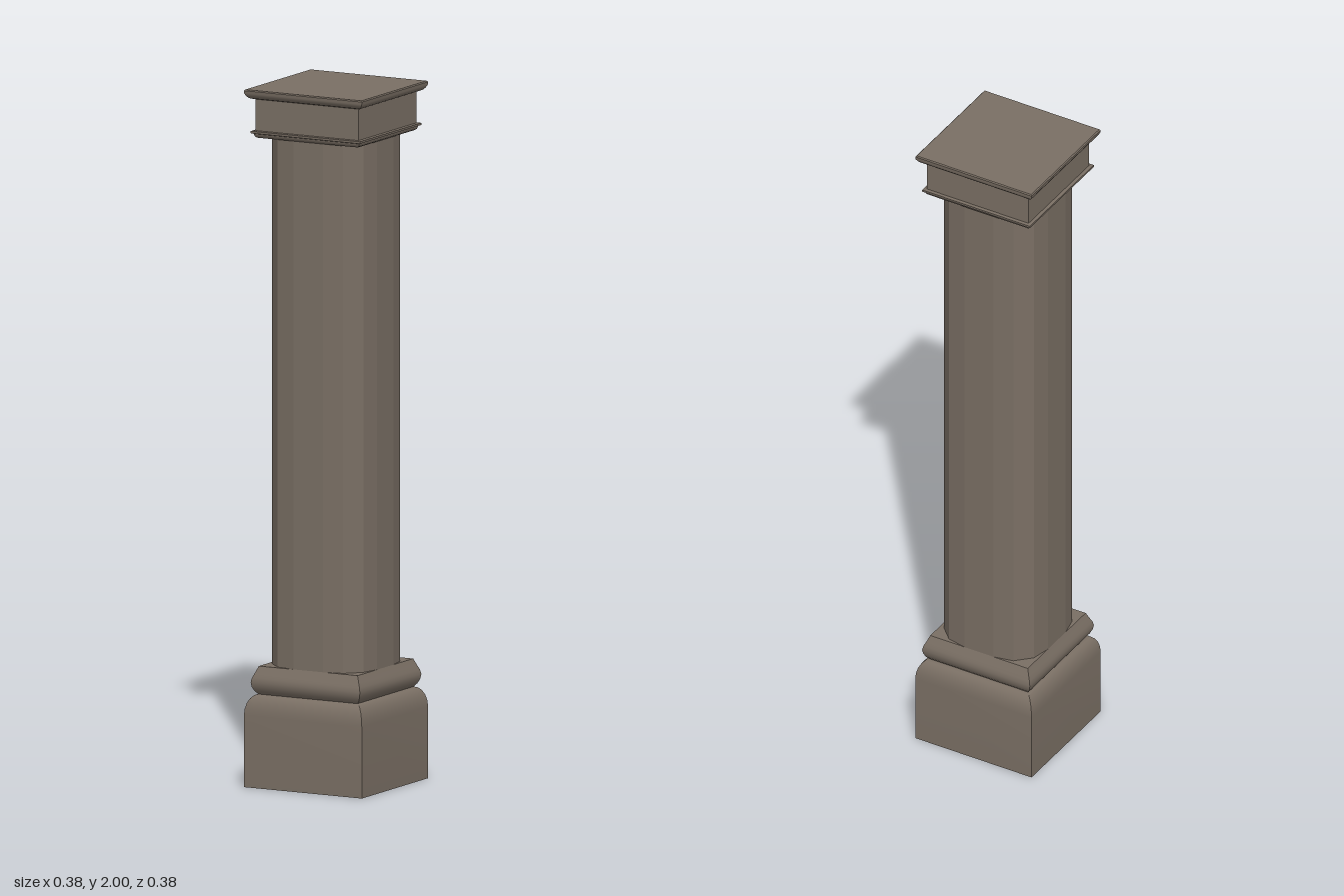
import * as THREE from 'three';
import { toCreasedNormals } from 'three/addons/utils/BufferGeometryUtils.js';

const stone = new THREE.MeshStandardMaterial({ color: 0x7a6f64 });

// Square moulding: a profile of [half width, height] swept round four sides, closed at both ends
function squareMoulding(name, profile) {
  const points = [[0, profile[0][1]], ...profile, [0, profile[profile.length - 1][1]]]
    .map(([half, y]) => new THREE.Vector2(half * Math.SQRT2, y));
  const geometry = new THREE.LatheGeometry(points, 4).rotateY(Math.PI / 4);
  const mesh = new THREE.Mesh(toCreasedNormals(geometry, 0.7), stone);
  mesh.name = name;
  return mesh;
}

// Quarter-round steps from the plinth wall up to the neck
function quarterRound(half, y, dx, dy, steps) {
  return Array.from({ length: steps + 1 }, (_, i) => {
    const a = (i / steps) * Math.PI / 2;
    return [half - dx * (1 - Math.cos(a)), y + dy * Math.sin(a)];
  });
}

// Faceted shaft: wide flat sides with corners cut in three facets
function createShaft(bottom, top) {
  const quarter = [[0.16, -0.048], [0.16, 0.048], [0.148, 0.106], [0.106, 0.148]];
  const outline = [];
  for (let q = 0; q < 4; q++) {
    const turn = q * Math.PI / 2;
    for (const [x, y] of quarter) {
      outline.push(new THREE.Vector2(x, y).rotateAround(new THREE.Vector2(), turn));
    }
  }
  const geometry = new THREE.ExtrudeGeometry(new THREE.Shape(outline), { depth: top - bottom, bevelEnabled: false });
  geometry.rotateX(-Math.PI / 2).translate(0, bottom, 0);
  const mesh = new THREE.Mesh(geometry, stone);
  mesh.name = 'shaft';
  return mesh;
}

export function createModel() {
  const column = new THREE.Group();
  column.name = 'column';
  column.add(
    // Base
    squareMoulding('plinth', [[0.191, 0], ...quarterRound(0.191, 0.205, 0.031, 0.06, 5)]),
    squareMoulding('baseCollar', [
      [0.16, 0.264], [0.169, 0.274], [0.175, 0.287], [0.177, 0.3],
      [0.174, 0.313], [0.168, 0.326], [0.16, 0.345],
    ]),
    createShaft(0.33, 1.87),
    // Capital
    squareMoulding('neckTrim', [[0.162, 1.86], [0.168, 1.864], [0.171, 1.872], [0.177, 1.874], [0.177, 1.88], [0.167, 1.881]]),
    squareMoulding('capitalBlock', [[0.167, 1.875], [0.167, 1.98]]),
    squareMoulding('topSlab', [[0.172, 1.972], [0.18, 1.975], [0.186, 1.981], [0.191, 1.99], [0.191, 1.997], [0.188, 2]]),
  );
  return column;
}
